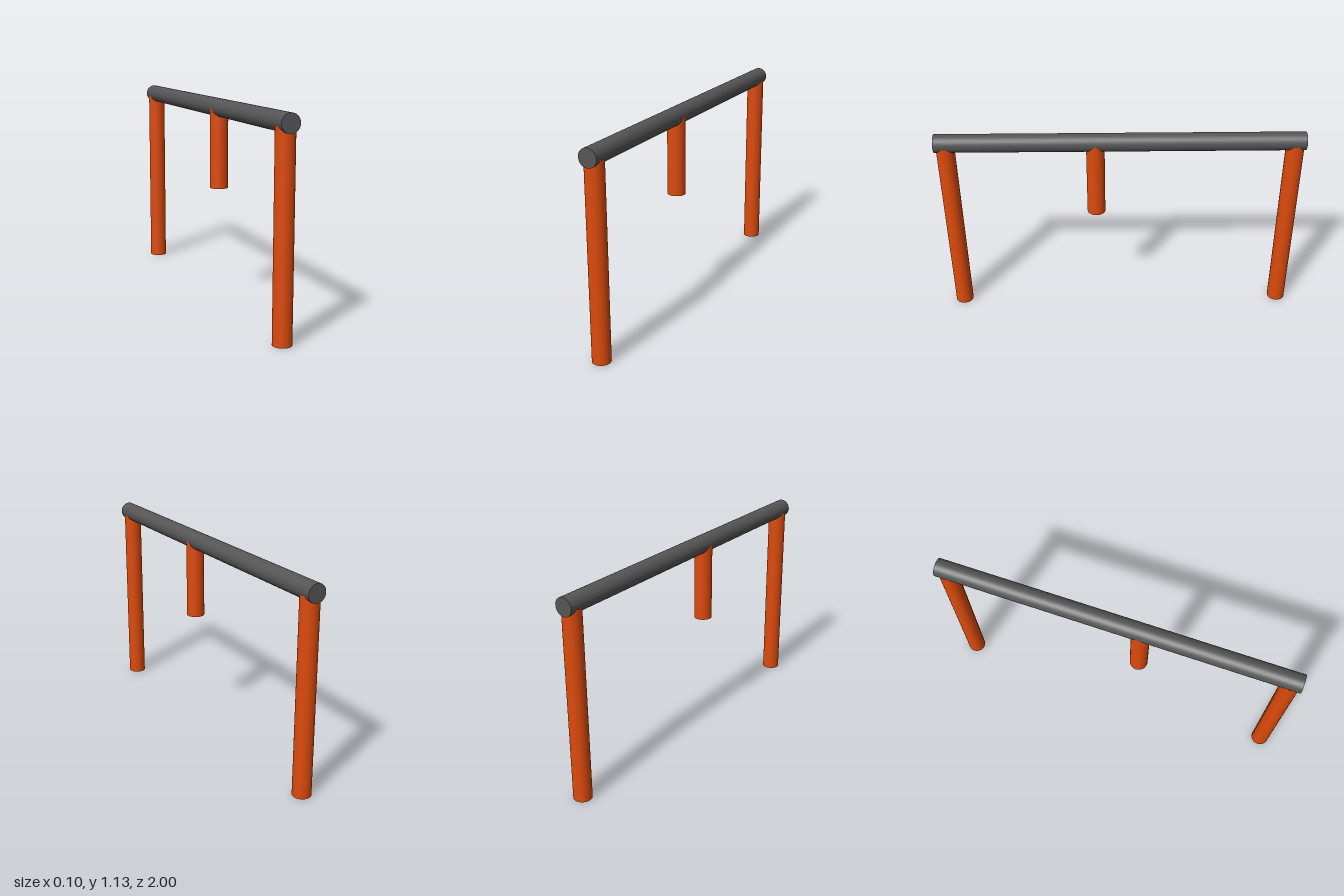
import * as THREE from 'three';

const RADIUS = 0.05;
const RAIL_Y = 1.085;

export function createModel() {
  const group = new THREE.Group();
  const dark = new THREE.MeshStandardMaterial({ color: 0x555555 });
  const orange = new THREE.MeshStandardMaterial({ color: 0xdd4a0c });

  // Horizontal rail running front to back
  const rail = new THREE.Mesh(new THREE.CylinderGeometry(RADIUS, RADIUS, 2, 48), dark);
  rail.name = 'rail';
  rail.rotation.x = Math.PI / 2;
  rail.position.y = RAIL_Y;
  group.add(rail);

  // Upright post between two heights, its top buried in the rail
  function addPost(name, z, bottom, top) {
    const post = new THREE.Mesh(
      new THREE.CylinderGeometry(RADIUS, RADIUS, top - bottom, 48), orange);
    post.name = name;
    post.position.set(0, (bottom + top) / 2, z);
    group.add(post);
  }

  // Two full-height legs and a short hanging stub
  addPost('frontLeg', 0.943, 0, 1.07);
  addPost('backLeg', -0.945, 0, 1.07);
  addPost('hangingPost', 0.135, 0.64, RAIL_Y);

  return group;
}
